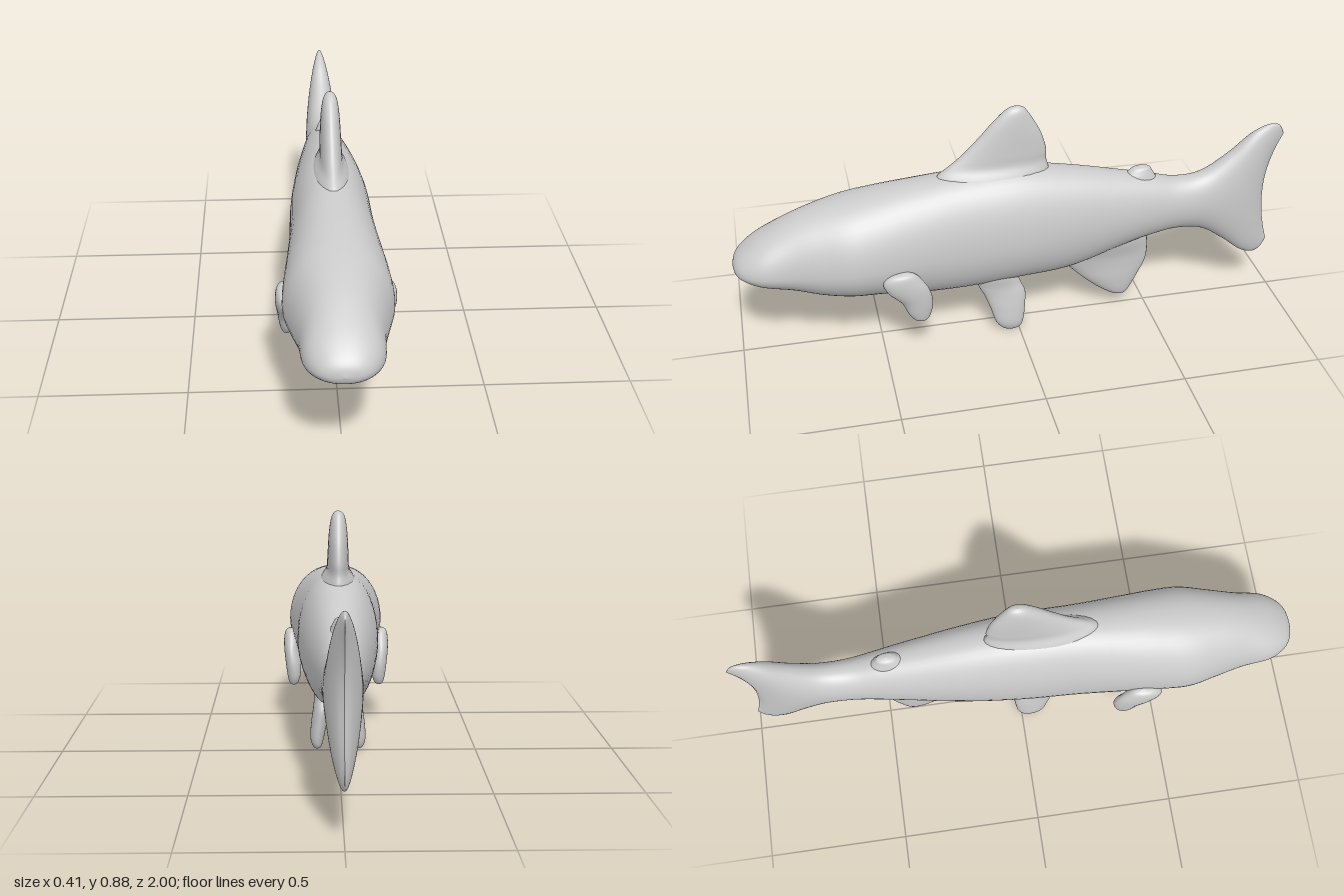
import * as THREE from 'three';

const material = new THREE.MeshStandardMaterial({ color: 0xcccccc, side: THREE.DoubleSide });

// Smooth interpolation between rows of section values
function sample(rows, t) {
  const n = rows.length - 1, f = Math.min(t * n, n - 1e-6), i = Math.floor(f), u = f - i;
  const row = (k) => rows[Math.max(0, Math.min(n, k))];
  return rows[0].map((_, c) => {
    const [a, b, d, e] = [row(i - 1)[c], row(i)[c], row(i + 1)[c], row(i + 2)[c]];
    return b + 0.5 * u * (d - a + u * (2 * a - 5 * b + 4 * d - e + u * (3 * (b - d) + e - a)));
  });
}

// Skin a closed ring of points over the interpolated sections
function loft(name, rows, ringPoint, segments, rings) {
  const position = [], index = [];
  for (let i = 0; i <= rings; i++) {
    const section = sample(rows, i / rings);
    for (let j = 0; j < segments; j++) {
      const angle = (j / segments) * Math.PI * 2;
      position.push(...ringPoint(section, Math.cos(angle), Math.sin(angle)));
      if (i === rings) continue;
      const a = i * segments + j, b = i * segments + (j + 1) % segments;
      index.push(a, a + segments, b, b, a + segments, b + segments);
    }
  }
  const geometry = new THREE.BufferGeometry();
  geometry.setAttribute('position', new THREE.Float32BufferAttribute(position, 3));
  geometry.setIndex(index);
  geometry.computeVertexNormals();
  const mesh = new THREE.Mesh(geometry, material);
  mesh.name = name;
  return mesh;
}

// Fin rows run upward: y, front z, back z, centre x, half thickness
function fin(name, rows, side = 1) {
  return loft(name, rows, ([y, front, back, x, thick], c, s) =>
    [side * x + thick * c, y, (front + back) / 2 + ((front - back) / 2) * s], 28, 40);
}

// Body rows run from snout to tail: z, bottom, widest height, top, half width
const bodyRows = [
  [1.0, 0.37, 0.37, 0.37, 0],
  [0.99, 0.345, 0.37, 0.402, 0.055],
  [0.96, 0.325, 0.37, 0.435, 0.095],
  [0.9, 0.3, 0.37, 0.478, 0.125],
  [0.8, 0.272, 0.37, 0.53, 0.136],
  [0.7, 0.24, 0.37, 0.565, 0.158],
  [0.6, 0.224, 0.375, 0.588, 0.18],
  [0.5, 0.215, 0.38, 0.604, 0.177],
  [0.4, 0.196, 0.385, 0.617, 0.167],
  [0.2, 0.185, 0.39, 0.637, 0.15],
  [0.0, 0.197, 0.4, 0.642, 0.143],
  [-0.2, 0.212, 0.41, 0.612, 0.124],
  [-0.4, 0.275, 0.415, 0.568, 0.098],
  [-0.5, 0.3, 0.417, 0.545, 0.083],
  [-0.6, 0.314, 0.418, 0.521, 0.07],
  [-0.7, 0.3, 0.418, 0.532, 0.064],
  [-0.8, 0.238, 0.42, 0.598, 0.06],
  [-0.88, 0.18, 0.423, 0.668, 0.053],
  [-0.94, 0.158, 0.427, 0.697, 0.04],
  [-0.98, 0.172, 0.427, 0.692, 0.022],
  [-1.0, 0.21, 0.427, 0.655, 0],
];

// Body and forked tail in one skin
function bodyPoint([z, bottom, mid, top, width], c, s) {
  const y = mid + (s > 0 ? top - mid : mid - bottom) * s;
  // Hollow the trailing edge and shorten the lower lobe
  const tail = THREE.MathUtils.smoothstep(-z, 0.72, 1);
  const shift = tail * (0.058 * (1 - s * s) + (s < 0 ? 0.024 * s * s : 0));
  return [width * Math.sign(c) * Math.abs(c) ** 0.92, y, z + shift];
}

const dorsalRows = [
  [0.57, 0.29, -0.13, 0, 0.085],
  [0.625, 0.28, -0.122, 0, 0.06],
  [0.66, 0.24, -0.113, 0, 0.041],
  [0.7, 0.19, -0.112, 0, 0.038],
  [0.76, 0.13, -0.095, 0, 0.035],
  [0.81, 0.085, -0.07, 0, 0.031],
  [0.85, 0.045, -0.046, 0, 0.024],
  [0.868, 0.02, -0.03, 0, 0.014],
  [0.875, -0.005, -0.005, 0, 0],
];

const adiposeRows = [
  [0.5, -0.38, -0.54, 0, 0.05],
  [0.54, -0.39, -0.52, 0, 0.036],
  [0.565, -0.415, -0.505, 0, 0.026],
  [0.58, -0.435, -0.495, 0, 0.017],
  [0.586, -0.465, -0.465, 0, 0],
];

const analRows = [
  [0.04, -0.405, -0.405, 0, 0],
  [0.048, -0.375, -0.43, 0, 0.014],
  [0.08, -0.325, -0.45, 0, 0.024],
  [0.13, -0.265, -0.475, 0, 0.03],
  [0.18, -0.215, -0.498, 0, 0.032],
  [0.23, -0.17, -0.505, 0, 0.038],
  [0.29, -0.15, -0.5, 0, 0.055],
  [0.34, -0.17, -0.48, 0, 0.06],
];

const pelvicRows = [
  [0.0, 0.03, 0.03, 0.075, 0],
  [0.008, 0.06, -0.002, 0.076, 0.015],
  [0.04, 0.087, -0.016, 0.076, 0.025],
  [0.1, 0.106, -0.024, 0.068, 0.029],
  [0.15, 0.125, -0.026, 0.06, 0.03],
  [0.19, 0.145, -0.01, 0.055, 0.032],
  [0.24, 0.155, 0.01, 0.052, 0.04],
  [0.28, 0.13, 0.03, 0.05, 0.03],
];

const pectoralRows = [
  [0.153, 0.373, 0.373, 0.165, 0],
  [0.16, 0.395, 0.35, 0.165, 0.015],
  [0.19, 0.418, 0.335, 0.164, 0.025],
  [0.24, 0.44, 0.33, 0.167, 0.029],
  [0.29, 0.485, 0.342, 0.173, 0.029],
  [0.33, 0.5, 0.365, 0.173, 0.029],
  [0.358, 0.475, 0.39, 0.174, 0.02],
  [0.368, 0.425, 0.425, 0.172, 0],
];

export function createModel() {
  const fish = new THREE.Group();
  fish.name = 'fish';
  fish.add(
    loft('body', bodyRows, bodyPoint, 48, 120),
    fin('dorsalFin', dorsalRows),
    fin('adiposeFin', adiposeRows),
    fin('analFin', analRows),
  );
  // Paired fins
  for (const [label, side] of [['left', 1], ['right', -1]]) {
    fish.add(fin(label + 'PelvicFin', pelvicRows, side));
    fish.add(fin(label + 'PectoralFin', pectoralRows, side));
  }
  return fish;
}
